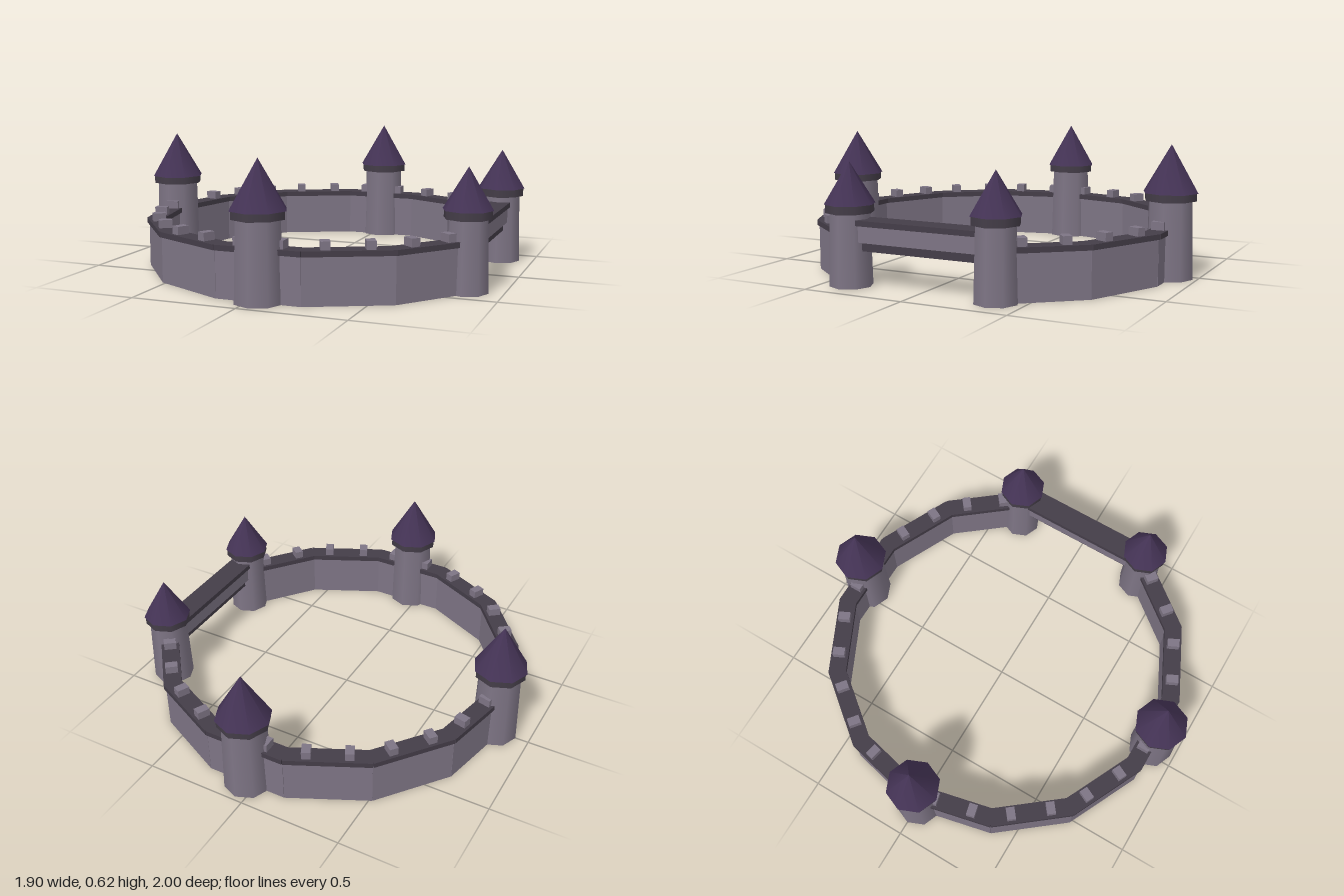
import * as THREE from 'three';

const stone = new THREE.MeshStandardMaterial({ color: 0x7d7484 });
const trim = new THREE.MeshStandardMaterial({ color: 0x443d48 });
const roof = new THREE.MeshStandardMaterial({ color: 0x443355 });

const CX = 0.047;          // ring centre in x
const RING = 0.868;        // ring radius, through the towers
const STEP = Math.PI * 2 / 14;

function add(parent, name, geometry, material, x = 0, y = 0, z = 0) {
  const mesh = new THREE.Mesh(geometry, material);
  mesh.name = name;
  mesh.position.set(x, y, z);
  parent.add(mesh);
  return mesh;
}

// Box given by its bottom and top heights
function slab(parent, name, w, y0, y1, d, material, x = 0, z = 0) {
  return add(parent, name, new THREE.BoxGeometry(w, y1 - y0, d), material, x, (y0 + y1) / 2, z);
}

// Eight-sided tapered tower with collar and pointed roof
function tower(name, angle, s) {
  const g = new THREE.Group();
  g.name = name;
  g.position.set(CX + RING * Math.cos(angle), 0, RING * Math.sin(angle));
  const drum = (part, rTop, rBottom, y0, y1, mat) =>
    add(g, part, new THREE.CylinderGeometry(rTop, rBottom, y1 - y0, 8), mat, 0, (y0 + y1) / 2, 0);
  drum('towerBody', s.top, s.bottom, 0, s.collarY, stone);
  drum('towerCollar', s.collar, s.collar, s.collarY, s.roofY, trim);
  add(g, 'towerRoof', new THREE.ConeGeometry(s.roof, s.apexY - s.roofY, 8), roof,
    0, (s.roofY + s.apexY) / 2, 0);
  return g;
}

// One straight wall section with coping and two merlons
function wallSection(angle) {
  const g = new THREE.Group();
  g.name = 'wallSection';
  const apothem = RING * Math.cos(STEP / 2);
  g.position.set(CX + apothem * Math.cos(angle), 0, apothem * Math.sin(angle));
  g.rotation.y = Math.PI / 2 - angle;
  slab(g, 'wall', 0.4, 0, 0.217, 0.068, stone);
  slab(g, 'coping', 0.402, 0.215, 0.24, 0.088, trim);
  for (const side of [-1, 1]) {
    slab(g, 'merlon', 0.042, 0.24, 0.278, 0.06, stone, side * 0.097);
  }
  return g;
}

export function createModel() {
  const model = new THREE.Group();
  model.name = 'castleRing';

  // Twelve wall sections, leaving the gate open on +x
  for (let i = 0; i < 12; i++) model.add(wallSection((i + 1.5) * STEP));

  // Three main towers and two smaller gate towers
  const main = { top: 0.104, bottom: 0.113, collar: 0.124, roof: 0.131, collarY: 0.366, roofY: 0.402, apexY: 0.623 };
  const gate = { top: 0.091, bottom: 0.1, collar: 0.11, roof: 0.116, collarY: 0.334, roofY: 0.372, apexY: 0.563 };
  for (const q of [1, 2, 3]) model.add(tower('mainTower', q * Math.PI / 2, main));
  const gateAngle = THREE.MathUtils.degToRad(25);
  for (const side of [-1, 1]) model.add(tower('gateTower', side * gateAngle, gate));

  // Bridge over the gate
  const bridge = new THREE.Group();
  bridge.name = 'gateBridge';
  bridge.position.x = CX + RING * Math.cos(gateAngle);
  slab(bridge, 'bridgeBeam', 0.06, 0.167, 0.21, 0.66, trim);
  slab(bridge, 'bridgeWall', 0.095, 0.207, 0.284, 0.66, stone);
  slab(bridge, 'bridgeCoping', 0.117, 0.283, 0.308, 0.66, trim);
  model.add(bridge);

  return model;
}
